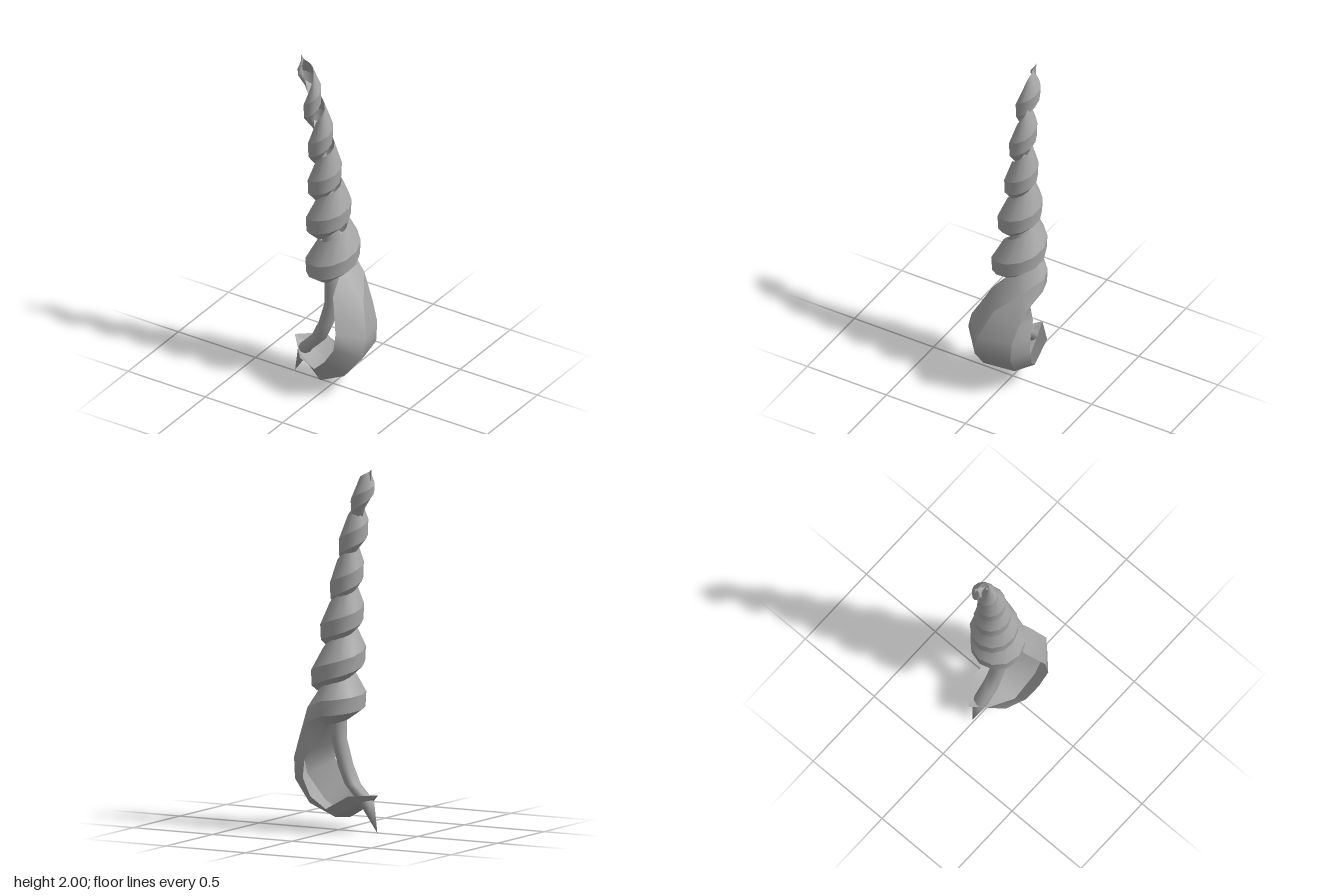
import * as THREE from 'three';
import { mergeGeometries, mergeVertices } from 'three/addons/utils/BufferGeometryUtils.js';

// Sheet through rows of points: smooth along its length, optionally creased between columns
function loft(rows, creased) {
  const strips = [];
  for (let j = 0; j < rows[0].length - 1; j++) {
    const pos = [], idx = [];
    rows.forEach((row, i) => {
      pos.push(...row[j], ...row[j + 1]);
      if (i < rows.length - 1) {
        const a = i * 2;
        idx.push(a, a + 1, a + 2, a + 1, a + 3, a + 2);
      }
    });
    const g = new THREE.BufferGeometry();
    g.setAttribute('position', new THREE.Float32BufferAttribute(pos, 3));
    g.setIndex(idx);
    strips.push(g);
  }
  let geo = mergeGeometries(strips);
  if (!creased) geo = mergeVertices(geo, 1e-4);
  geo.computeVertexNormals();
  return geo;
}

// Linear interpolation in a table whose first column is the key
function sample(table, t) {
  let i = 0;
  while (i < table.length - 2 && table[i + 1][0] < t) i++;
  const a = table[i], b = table[i + 1];
  const f = (t - a[0]) / (b[0] - a[0]);
  return a.map((v, k) => v + (b[k] - v) * f);
}

// Flared last whorl, from the pointed lip upward: upper edge, two outer corners, lower edge
const lip = [
  [[-0.265, 0.21, -0.03], [-0.265, 0.21, -0.03], [-0.265, 0.21, -0.03], [-0.265, 0.21, -0.03]],
  [[-0.13, 0.18, 0.125], [-0.18, 0.145, 0.04], [-0.17, 0.16, -0.05], [-0.14, 0.21, -0.135]],
  [[-0.01, 0.17, 0.17], [-0.02, 0.06, 0.095], [-0.02, 0.08, -0.07], [0, 0.13, -0.14]],
  [[0.07, 0.25, 0.19], [0.14, 0.14, 0.1], [0.13, 0.15, -0.09], [0.08, 0.2, -0.17]],
  [[0.135, 0.35, 0.2], [0.25, 0.28, 0.09], [0.21, 0.28, -0.11], [0.12, 0.3, -0.18]],
  [[0.135, 0.44, 0.18], [0.265, 0.4, 0.07], [0.21, 0.4, -0.12], [0.11, 0.4, -0.18]],
  [[0.06, 0.61, 0.09], [0.2, 0.57, 0], [0.17, 0.5, -0.14], [0.06, 0.48, -0.165]],
  [[0.05, 0.74, -0.02], [0.12, 0.68, -0.13], [0.11, 0.6, -0.17], [0.03, 0.54, -0.13]],
];

// Spire: turn, height, axis x, axis z, radius
const spire = [
  [0.5, 0.69, 0, -0.035, 0.16],
  [1, 0.745, -0.018, -0.035, 0.157],
  [1.5, 0.89, -0.025, -0.035, 0.15],
  [2, 1.02, -0.037, -0.03, 0.129],
  [2.5, 1.13, -0.045, -0.028, 0.119],
  [3, 1.25, -0.057, -0.026, 0.1],
  [3.5, 1.36, -0.069, -0.022, 0.088],
  [4, 1.48, -0.08, -0.017, 0.077],
  [4.5, 1.6, -0.1, -0.012, 0.072],
  [5, 1.71, -0.125, -0.012, 0.064],
  [5.5, 1.83, -0.165, -0.015, 0.055],
  [6, 1.93, -0.208, -0.018, 0.028],
  [6.35, 2.0, -0.22, -0.02, 0],
];

function spireRow(t) {
  const [, y, cx, cz, r] = sample(spire, t);
  const inner = 0.56 - 0.66 * Math.max(0, (t - 3.5) / 2.85);
  const h = 1 - Math.max(0, (t - 5.3) / 1.05);
  const s = Math.sin(t * Math.PI * 2), c = Math.cos(t * Math.PI * 2);
  return [[inner, 0.165], [1, 0.04], [0.97, -0.045], [inner - 0.1, -0.1]]
    .map(([k, dy]) => [cx + s * r * k, y + dy * h, cz + c * r * k]);
}

export function createModel() {
  const group = new THREE.Group();
  const shellGrey = new THREE.MeshStandardMaterial({ color: 0xa6a6a6, side: THREE.DoubleSide });
  shellGrey.name = 'shellGrey';

  const add = (name, geo) => {
    const mesh = new THREE.Mesh(geo, shellGrey);
    mesh.name = name;
    group.add(mesh);
  };

  // Spiral band running from the flared lip to the tip
  const rows = [...lip];
  const steps = 70;
  for (let i = 0; i <= steps; i++) rows.push(spireRow(0.5 + (5.85 * i) / steps));
  add('spiralShell', loft(rows, true));

  // Central column with a pointed foot: x, y, z, radius
  const column = [
    [-0.25, 0, -0.01, 0], [-0.18, 0.17, -0.01, 0.044], [-0.095, 0.26, -0.01, 0.045],
    [-0.05, 0.36, -0.01, 0.044], [-0.012, 0.5, -0.012, 0.043], [-0.008, 0.65, -0.015, 0.046],
    [-0.03, 0.9, -0.03, 0.05], [-0.065, 1.35, -0.022, 0.025], [-0.1, 1.6, -0.012, 0],
  ];
  add('centralColumn', loft(column.map(([x, y, z, r]) =>
    Array.from({ length: 9 }, (_, k) => {
      const a = (k % 8) * Math.PI / 4;
      return [x + Math.sin(a) * r, y, z + Math.cos(a) * r];
    })), false));

  return group;
}
